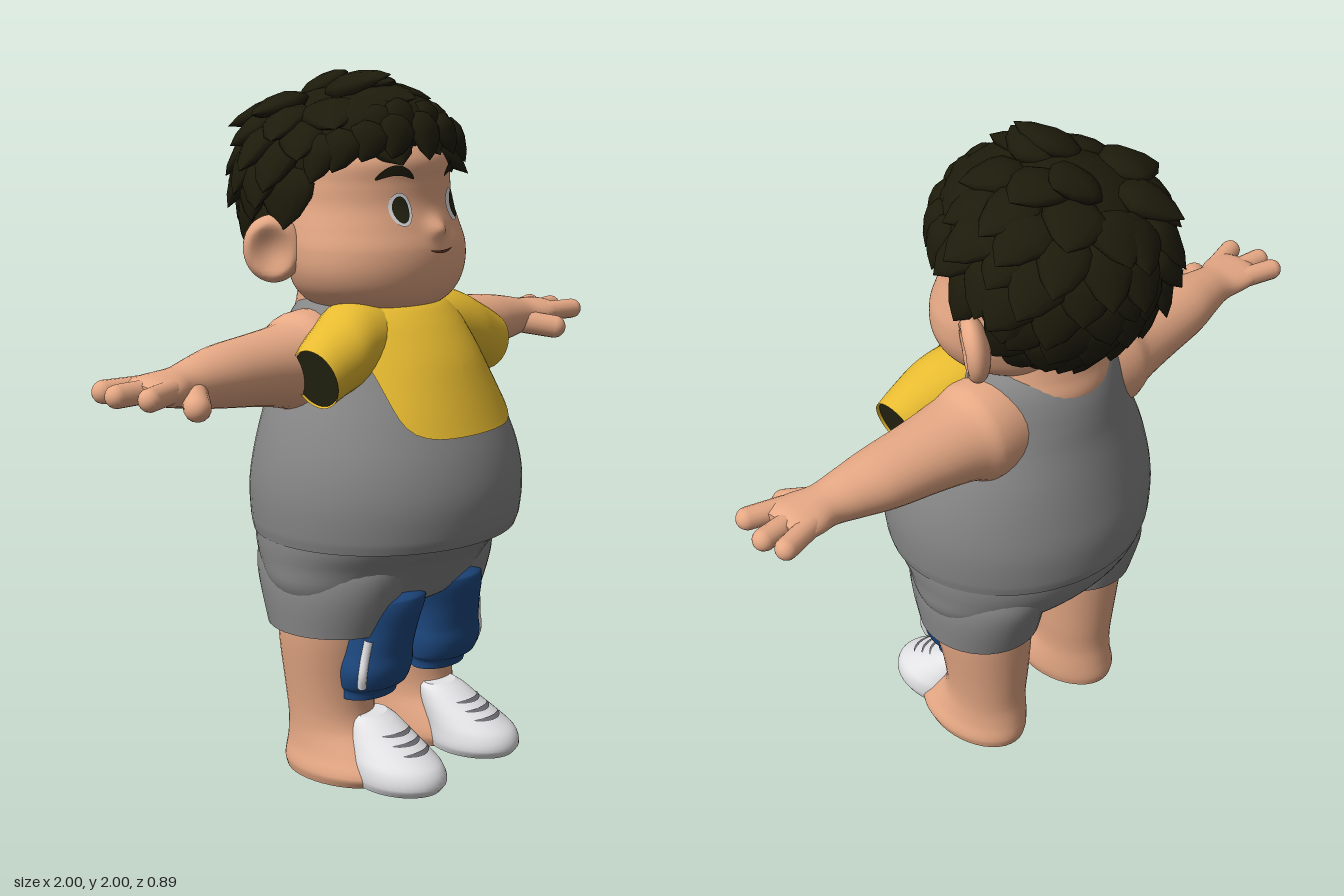
import * as THREE from 'three';

const mat = (name, color, side = THREE.FrontSide) => {
  const m = new THREE.MeshStandardMaterial({ color, side });
  m.name = name;
  return m;
};
const V = (x, y, z) => new THREE.Vector3(x, y, z);

// A section is [y, centre x, half width, front z, back z]; values are smoothed between sections.
function sectionAt(secs, y) {
  let i = 0;
  while (i < secs.length - 2 && y > secs[i + 1][0]) i++;
  const a = secs[i], b = secs[i + 1], p = secs[i - 1] || a, n = secs[i + 2] || b;
  const h = b[0] - a[0], u = Math.min(1, Math.max(0, (y - a[0]) / h));
  return [1, 2, 3, 4].map((k) => {
    const ma = ((b[k] - p[k]) / (b[0] - p[0])) * h, mb = ((n[k] - a[k]) / (n[0] - a[0])) * h;
    const u2 = u * u, u3 = u2 * u;
    return (2 * u3 - 3 * u2 + 1) * a[k] + (u3 - 2 * u2 + u) * ma + (3 * u2 - 2 * u3) * b[k] + (u3 - u2) * mb;
  });
}
function pointAt(secs, y, t) {
  const [cx, rx, zf, zb] = sectionAt(secs, y);
  return V(cx + rx * Math.sin(t), y, (zf + zb) / 2 + ((zf - zb) / 2) * Math.cos(t));
}
function build(pos, idx) {
  const g = new THREE.BufferGeometry();
  g.setAttribute('position', new THREE.Float32BufferAttribute(pos, 3));
  g.setIndex(idx);
  g.computeVertexNormals();
  return g;
}

// Closed tube of ellipses, with flat ends
function loft(secs, n = 40, sub = 4, capTop = true) {
  const ys = [], pos = [], idx = [];
  for (let i = 0; i < secs.length - 1; i++)
    for (let k = 0; k < sub; k++) ys.push(secs[i][0] + ((secs[i + 1][0] - secs[i][0]) * k) / sub);
  ys.push(secs[secs.length - 1][0]);
  const ring = (y) => {
    for (let i = 0; i < n; i++) pos.push(...pointAt(secs, y, (i / n) * Math.PI * 2).toArray());
  };
  ys.forEach(ring);
  for (let j = 0; j < ys.length - 1; j++)
    for (let i = 0; i < n; i++) {
      const a = j * n + i, b = j * n + ((i + 1) % n);
      idx.push(a, b, b + n, a, b + n, a + n);
    }
  for (const top of capTop ? [false, true] : [false]) {
    const y = top ? ys[ys.length - 1] : ys[0], start = pos.length / 3;
    ring(y);
    const [cx, , zf, zb] = sectionAt(secs, y);
    pos.push(cx, y, (zf + zb) / 2);
    for (let i = 0; i < n; i++) {
      const a = start + i, b = start + ((i + 1) % n);
      idx.push(start + n, top ? a : b, top ? b : a);
    }
  }
  return build(pos, idx);
}
// Sideways loft from [x, centre y, centre z, half height, half depth]
const sideLoft = (secs, n, sub, cap) =>
  loft(secs.map(([x, cy, cz, ry, rz]) => [x, -cy, ry, cz + rz, cz - rz]), n, sub, cap).rotateZ(-Math.PI / 2);

// Thin rounded patch lying on the front of a loft
function patch(secs, cx, cy, rx, ry, off, power = 2, arch = 0, rings = 4, n = 40) {
  const pos = [], idx = [];
  for (let k = 0; k <= rings; k++)
    for (let i = 0; i < n; i++) {
      const t = (i / n) * Math.PI * 2, c = Math.cos(t), s = Math.sin(t);
      const r = (k / rings) * (Math.abs(c) ** power + Math.abs(s) ** power) ** (-1 / power);
      const y = cy + ry * r * s - arch * (rx * r * c) ** 2;
      const [sx, sr, zf, zb] = sectionAt(secs, y);
      const q = Math.min(0.985, Math.max(-0.985, (cx + rx * r * c - sx) / sr));
      pos.push(sx + q * sr, y, (zf + zb) / 2 + ((zf - zb) / 2) * Math.sqrt(1 - q * q) + off);
      const a = k * n + i, b = k * n + ((i + 1) % n);
      if (k < rings) idx.push(a, a + n, b + n, a, b + n, b);
    }
  return build(pos, idx);
}
function mirrored(geo) {
  const g = geo.clone();
  for (const key of ['position', 'normal']) {
    const a = g.attributes[key];
    for (let i = 0; i < a.count; i++) a.setX(i, -a.getX(i));
  }
  const ix = g.index.array;
  for (let i = 0; i < ix.length; i += 3) [ix[i], ix[i + 1]] = [ix[i + 1], ix[i]];
  return g;
}
function capsule(a, b, r) {
  const d = b.clone().sub(a), g = new THREE.CapsuleGeometry(r, d.length(), 6, 14);
  g.applyQuaternion(new THREE.Quaternion().setFromUnitVectors(V(0, 1, 0), d.normalize()));
  const m = a.clone().add(b).multiplyScalar(0.5);
  return g.translate(m.x, m.y, m.z);
}

export function createModel() {
  const root = new THREE.Group();
  root.name = 'boy';
  const skin = mat('skin', 0xe8aa86), grey = mat('grey cloth', 0x868686);
  const yellow = mat('yellow cloth', 0xeabd31, THREE.DoubleSide), blue = mat('blue cloth', 0x1d4880);
  const hair = mat('dark hair', 0x1d1b0b), white = mat('white', 0xececef, THREE.DoubleSide);
  const iris = mat('iris brown', 0x262513), lip = mat('lip brown', 0x6a3a28), lace = mat('lace grey', 0x6c6c72);
  const add = (name, geo, m) => {
    const mesh = new THREE.Mesh(geo, m);
    mesh.name = name;
    root.add(mesh);
  };
  const pair = (name, geo, m) => {
    add(name + 'Left', geo, m);
    add(name + 'Right', mirrored(geo), m);
  };

  // Tank top and shirt front
  const torso = [[0.715, 0, 0.404, 0.424, -0.308], [0.75, 0, 0.411, 0.436, -0.316], [0.85, 0, 0.415, 0.444, -0.32],
    [0.95, 0, 0.4, 0.425, -0.305], [1.05, 0, 0.365, 0.387, -0.285], [1.15, 0, 0.315, 0.345, -0.262],
    [1.22, 0, 0.285, 0.312, -0.25], [1.28, 0, 0.265, 0.272, -0.235], [1.33, 0, 0.245, 0.23, -0.212],
    [1.37, 0, 0.2, 0.18, -0.18], [1.385, 0, 0.14, 0.12, -0.14]];
  add('tankTop', loft(torso, 64), grey);
  add('shirtFront', patch(torso, 0, 1.2, 0.242, 0.178, 0.009, 6, 0, 12, 64), yellow);

  // Short sleeves with dark openings
  const sleeve = sideLoft([[0.1, 1.27, 0.08, 0.112, 0.12], [0.2, 1.265, 0.09, 0.117, 0.12], [0.28, 1.245, 0.11, 0.108, 0.11],
    [0.34, 1.22, 0.12, 0.095, 0.095], [0.395, 1.195, 0.13, 0.082, 0.08]], 32, 4, false);
  const opening = sideLoft([[0.35, 1.213, 0.122, 0.08, 0.08], [0.386, 1.198, 0.129, 0.08, 0.077]], 32, 1);
  for (const g of [sleeve, opening]) {
    const p = g.attributes.position;
    for (let i = 0; i < p.count; i++) if (p.getX(i) > 0.3) p.setX(i, p.getX(i) + (p.getX(i) - 0.3) * 3.2 * (p.getY(i) - 1.195));
    g.computeVertexNormals();
  }
  pair('sleeve', sleeve, yellow);
  pair('sleeveOpening', opening, iris);

  // Arms and hands
  pair('arm', sideLoft([[0.15, 1.2, -0.04, 0.15, 0.14], [0.27, 1.2, -0.035, 0.148, 0.147], [0.33, 1.203, -0.035, 0.12, 0.13],
    [0.45, 1.21, -0.035, 0.1, 0.113], [0.6, 1.215, -0.03, 0.084, 0.097], [0.7, 1.215, -0.02, 0.068, 0.077],
    [0.77, 1.215, -0.013, 0.054, 0.068], [0.83, 1.219, -0.01, 0.045, 0.085], [0.88, 1.222, -0.01, 0.036, 0.086],
    [0.91, 1.222, -0.01, 0.022, 0.066]], 32), skin);
  [[-0.062, 0.95, -0.09], [-0.01, 0.969, -0.022], [0.044, 0.948, 0.074]].forEach(([z0, x, z], i) =>
    pair('finger' + (i + 1), capsule(V(0.85, 1.222, z0), V(x, 1.222, z), 0.031), skin));
  pair('thumb', capsule(V(0.74, 1.2, 0.02), V(0.81, 1.182, 0.1), 0.036), skin);

  // Shorts
  add('shortsSeat', loft([[0.485, 0, 0.22, 0.17, -0.11], [0.52, 0, 0.33, 0.24, -0.175], [0.58, 0, 0.384, 0.282, -0.232],
    [0.65, 0, 0.394, 0.335, -0.277], [0.7, 0, 0.4, 0.383, -0.296], [0.75, 0, 0.4, 0.42, -0.304]], 56), grey);
  pair('shortsLeg', loft([[0.45, 0.2, 0.174, 0.215, -0.17], [0.55, 0.203, 0.177, 0.25, -0.202],
    [0.62, 0.2, 0.172, 0.27, -0.222], [0.68, 0.2, 0.15, 0.27, -0.22]]), grey);

  // Legs with bare heels
  pair('leg', loft([[0, 0.197, 0.122, 0.235, -0.128], [0.03, 0.197, 0.13, 0.255, -0.135], [0.08, 0.191, 0.122, 0.215, -0.13],
    [0.15, 0.19, 0.115, 0.15, -0.123], [0.25, 0.19, 0.125, 0.14, -0.13], [0.4, 0.195, 0.145, 0.16, -0.14],
    [0.5, 0.195, 0.155, 0.17, -0.14]]), skin);

  // Blue trouser fronts with a white side stripe
  const trouser = [[0.25, 0.165, 0.098, 0.195, 0.06], [0.275, 0.165, 0.1, 0.205, 0.06], [0.29, 0.165, 0.112, 0.23, 0.06],
    [0.34, 0.165, 0.123, 0.248, 0.06], [0.39, 0.16, 0.118, 0.25, 0.06], [0.46, 0.15, 0.117, 0.264, 0.05],
    [0.545, 0.135, 0.13, 0.278, 0.02], [0.57, 0.13, 0.122, 0.25, 0], [0.6, 0.12, 0.118, 0.22, 0]];
  pair('trouserLeg', loft(trouser), blue);
  const stripe = new THREE.CatmullRomCurve3([0.3, 0.34, 0.39, 0.44].map((y) => pointAt(trouser, y, 1.1)));
  pair('trouserStripe', new THREE.TubeGeometry(stripe, 16, 0.013, 8), white);

  // Shoes and laces
  const shoe = [[0.005, 0.18, 0.102, 0.385, 0.11], [0.03, 0.18, 0.113, 0.402, 0.11], [0.07, 0.18, 0.11, 0.388, 0.1],
    [0.1, 0.176, 0.1, 0.345, 0.09], [0.14, 0.17, 0.085, 0.275, 0.08], [0.175, 0.166, 0.07, 0.215, 0.08], [0.19, 0.165, 0.055, 0.18, 0.09]];
  pair('shoe', loft(shoe), white);
  [0.112, 0.132, 0.152].forEach((y, i) => pair('lace' + (i + 1), patch(shoe, 0.172, y, 0.058, 0.004, 0.006), lace));

  // Neck, and head with a small nose pulled out of it
  add('neck', loft([[1.27, 0, 0.16, 0.08, -0.225], [1.31, 0, 0.18, 0.09, -0.228], [1.36, 0, 0.18, 0.1, -0.215], [1.46, 0, 0.175, 0.1, -0.2]]), skin);
  const head = [[1.335, 0, 0.1, 0.13, -0.1], [1.352, 0, 0.185, 0.19, -0.14], [1.39, 0, 0.247, 0.232, -0.18],
    [1.45, 0, 0.284, 0.252, -0.2], [1.52, 0, 0.293, 0.252, -0.22], [1.58, 0, 0.285, 0.232, -0.24],
    [1.64, 0, 0.274, 0.213, -0.26], [1.7, 0, 0.27, 0.208, -0.27], [1.77, 0, 0.258, 0.205, -0.27],
    [1.84, 0, 0.19, 0.14, -0.22], [1.88, 0, 0.08, 0.05, -0.12]];
  const headGeo = loft(head, 144, 8), hp = headGeo.attributes.position;
  for (let i = 0; i < hp.count; i++)
    if (hp.getZ(i) > 0)
      hp.setZ(i, hp.getZ(i) + 0.026 * Math.exp(-((hp.getX(i) / 0.036) ** 2) - ((hp.getY(i) - 1.575) / 0.026) ** 2));
  headGeo.computeVertexNormals();
  add('head', headGeo, skin);

  // Cupped ears, turned a little forward
  const ear = new THREE.SphereGeometry(1, 28, 20), ep = ear.attributes.position;
  for (let i = 0; i < ep.count; i++) {
    const r2 = ep.getY(i) ** 2 + ep.getZ(i) ** 2;
    if (ep.getX(i) > 0) ep.setX(i, ep.getX(i) * (1 - 0.85 * Math.max(0, 1 - r2 / 0.6)));
  }
  ear.scale(0.044, 0.095, 0.084).rotateZ(-0.1).rotateY(-0.6).translate(0.306, 1.522, -0.095);
  ear.computeVertexNormals();
  pair('ear', ear, skin);

  // Face details
  pair('eyeWhite', patch(head, 0.112, 1.632, 0.034, 0.045, 0.004), white);
  add('irisLeft', patch(head, 0.12, 1.632, 0.023, 0.036, 0.008), iris);
  add('irisRight', patch(head, -0.115, 1.632, 0.024, 0.036, 0.008), iris);
  pair('eyebrow', patch(head, 0.122, 1.738, 0.054, 0.014, 0.009, 2, 8), hair);
  add('mouth', patch(head, 0, 1.512, 0.048, 0.004, 0.004, 2, -3), lip);

  // Hair: two rounded masses covered with overlapping locks
  const mass = new THREE.SphereGeometry(1, 36, 24), mp = mass.attributes.position;
  for (let i = 0; i < mp.count; i++) if (mp.getY(i) < 0) mp.setY(i, mp.getY(i) * 1.2);
  add('hairMass', mass.scale(0.284, 0.236, 0.268).translate(0, 1.72, -0.1), hair);
  add('fringeMass', new THREE.SphereGeometry(1, 32, 20).scale(0.245, 0.1, 0.175).translate(0, 1.845, 0.03), hair);

  const lockGeo = new THREE.LatheGeometry(
    [[0, 0], [0.55, 0.06], [0.95, 0.28], [0.92, 0.48], [0.55, 0.78], [0, 1]].map(([x, y]) => new THREE.Vector2(x, y)), 12);
  let seed = 7;
  const rnd = () => (seed = (seed * 16807) % 2147483647) / 2147483647;
  const locks = new THREE.Group();
  locks.name = 'hairLocks';
  root.add(locks);
  const lock = (p, normal, flow, w, len, thick, lift) => {
    const n = normal.clone().normalize();
    const d = flow.clone().addScaledVector(n, -flow.dot(n)).normalize().addScaledVector(n, lift).normalize();
    const x = d.clone().cross(n).normalize(), z = x.clone().cross(d);
    const m = new THREE.Mesh(lockGeo, hair);
    m.name = 'lock';
    m.quaternion.setFromRotationMatrix(new THREE.Matrix4().makeBasis(x, d, z));
    m.position.copy(p);
    m.scale.set(w, len, thick);
    locks.add(m);
  };
  const total = 130;
  for (let i = 0; i < total; i++) {
    const ny = 1 - (2 * (i + 0.5)) / total, r = Math.sqrt(1 - ny * ny), a = i * 2.39996;
    const n = V(Math.sin(a) * r, ny, Math.cos(a) * r);
    const p = V(n.x * 0.275, 1.72 + n.y * (ny < 0 ? 0.29 : 0.232), -0.1 + n.z * 0.262);
    if (p.y < 1.5 || (p.z > -0.04 && p.y < 1.84) || (p.z > -0.17 && p.y < 1.72)) continue;
    const flow = V((rnd() - 0.5) * 0.7 + 0.25, -1, 0.2 + (rnd() - 0.5) * 0.5);
    const len = 0.145 + rnd() * 0.035 + 0.03 * Math.max(0, ny);
    lock(p, n, flow, 0.074 + rnd() * 0.018, len, 0.033, 0.13 + rnd() * 0.15);
  }
  // Fringe swept across the forehead
  for (let row = 0; row < 2; row++)
    for (let i = -4; i <= 4; i++) {
      const a = (i + row * 0.5) * 0.35, s = Math.sin(a), c = Math.cos(a);
      const p = V(s * (0.25 - row * 0.04), 1.89 + row * 0.03 - 0.055 * s * s, 0.025 + c * (0.155 - row * 0.03));
      lock(p, V(s, 0.35, c), V(-0.4 + s * 0.5 + (rnd() - 0.5) * 0.5, -1, 0), 0.058, 0.12 + rnd() * 0.04, 0.032, 0.1);
    }
  return root;
}
